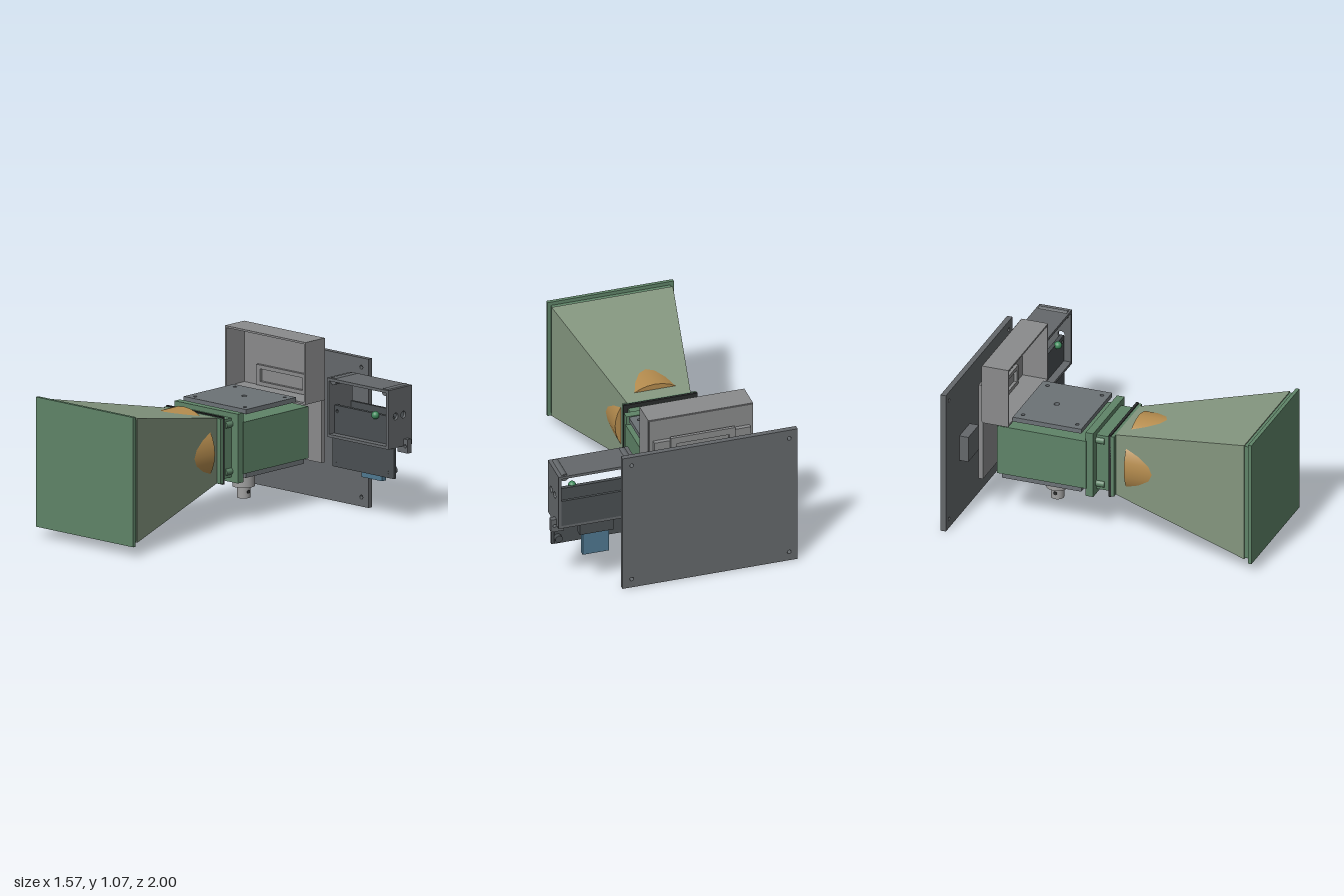
import * as THREE from 'three';

const mat = (color, flat = false) => new THREE.MeshStandardMaterial({ color, flatShading: flat });
const M = {
  horn: mat(0x84967f, true), green: mat(0x5f8468), dark: mat(0x4a4f52), plate: mat(0x64686b),
  grey: mat(0x8a8b8c), slate: mat(0x6c7276), orange: mat(0xb58c4e), blue: mat(0x4f7890),
  lamp: mat(0x3f8a5c), black: mat(0x2a2c2c), metal: mat(0xa0a0a0),
};
const CX = -0.215, CY = 0.475; // feed axis

export function createModel() {
  const model = new THREE.Group();
  const add = (name, geo, material, parent = model) => {
    const m = new THREE.Mesh(geo, material);
    m.name = name;
    parent.add(m);
    return m;
  };
  // box given by its limits
  const box = (name, material, x0, x1, y0, y1, z0, z1) =>
    add(name, new THREE.BoxGeometry(x1 - x0, y1 - y0, z1 - z0)
      .translate((x0 + x1) / 2, (y0 + y1) / 2, (z0 + z1) / 2), material);
  // box centred on the feed axis
  const axial = (name, material, hw, hh, z0, z1) =>
    box(name, material, CX - hw, CX + hw, CY - hh, CY + hh, z0, z1);
  // cylinder along x, y or z
  const rod = (name, material, axis, r, len, x, y, z, r2 = r) => {
    const g = new THREE.CylinderGeometry(r2, r, len, 32);
    if (axis === 'z') g.rotateX(Math.PI / 2);
    if (axis === 'x') g.rotateZ(-Math.PI / 2);
    return add(name, g.translate(x, y, z), material);
  };
  const rectPath = (P, x0, x1, y0, y1) => new P().moveTo(x0, y0).lineTo(x1, y0).lineTo(x1, y1).lineTo(x0, y1).closePath();
  // plate in the xy plane with round holes [x, y, r] and an optional window
  const sheet = (x0, x1, y0, y1, z0, z1, holes = [], win = null) => {
    const s = rectPath(THREE.Shape, x0, x1, y0, y1);
    for (const [x, y, r] of holes) s.holes.push(new THREE.Path().absarc(x, y, r, 0, Math.PI * 2, true));
    if (win) s.holes.push(rectPath(THREE.Path, ...win));
    return new THREE.ExtrudeGeometry(s, { depth: z1 - z0, bevelEnabled: false, curveSegments: 10 }).translate(0, 0, z0);
  };

  // horn: square frustum with a closed, stepped aperture
  const r2 = Math.SQRT2;
  add('horn', new THREE.CylinderGeometry(0.395 * r2, 0.203 * r2, 0.945, 4).rotateY(Math.PI / 4)
    .rotateX(Math.PI / 2).translate(CX, CY, 0.4725), M.horn);
  axial('apertureStep', M.green, 0.388, 0.388, 0.945, 0.98);
  axial('apertureCover', M.green, 0.411, 0.412, 0.977, 1);
  rod('lensRing', M.orange, 'z', 0.26, 0.3, CX, CY, 0.245);

  // throat flanges and neck
  axial('throatFlange', M.green, 0.24, 0.207, 0, 0.022);
  axial('gasket', M.black, 0.24, 0.214, -0.015, 0.002);
  axial('neck', M.green, 0.212, 0.188, -0.11, -0.012);
  axial('rearFlange', M.green, 0.268, 0.22, -0.155, -0.105);
  for (const sx of [-1, 1]) for (const sy of [-1, 1])
    rod('flangeBolt', M.green, 'z', 0.022, 0.055, CX + sx * 0.205, CY + sy * 0.15, -0.078);

  // waveguide body
  box('body', M.green, -0.49, 0.058, 0.308, 0.637, -0.74, -0.15);

  // top cover plate (sheet laid flat) and its standoffs
  const corners = [-1, 1].flatMap(a => [-1, 1].map(b => [a, b]));
  const holes = corners.map(([a, b]) => [CX + a * 0.21, 0.4125 + b * 0.18, 0.012]);
  add('topPlate', sheet(-0.48, 0.047, 0.185, 0.64, 0, 0.03, [...holes, [CX, 0.45, 0.018]])
    .rotateX(-Math.PI / 2).translate(0, 0.68, 0), M.slate);
  rod('topProbe', M.orange, 'y', 0.017, 0.06, CX, 0.66, -0.45);

  // bottom plates
  add('bottomFrame', sheet(-0.48, 0.047, 0.185, 0.71, 0, 0.03, [], [-0.4, -0.03, 0.26, 0.63])
    .rotateX(-Math.PI / 2).translate(0, 0.276, 0), M.slate);
  box('bottomPlate', M.dark, -0.375, -0.055, 0.242, 0.31, -0.605, -0.29);
  // stepped knob
  rod('knob', M.metal, 'y', 0.07, 0.095, CX, 0.188, -0.445);
  rod('knobNeck', M.metal, 'y', 0.03, 0.02, CX, 0.237, -0.445);
  rod('knobTip', M.metal, 'y', 0.042, 0.08, CX, 0.108, -0.445);
  rod('knobCrossHole', M.black, 'x', 0.012, 0.088, CX, 0.108, -0.445);

  // open-fronted hood behind the body
  add('hood', sheet(-0.555, 0.127, 0.675, 1.07, -0.815, -0.64, [], [-0.543, 0.115, 0.687, 1.058]), M.grey);
  box('hoodBack', M.grey, -0.55, 0.122, 0.68, 1.065, -0.82, -0.805);
  add('hoodFrame', sheet(-0.425, -0.005, 0.69, 0.82, -0.805, -0.785, [], [-0.395, -0.035, 0.715, 0.795]), M.grey);

  // rear panel with stepped flange, block and pin
  box('rearPanel', M.grey, -0.53, 0.097, 0.27, 0.92, -0.848, -0.818);
  add('rearFrame', sheet(-0.425, -0.005, 0.3, 0.945, -0.865, -0.845, [], [-0.385, -0.045, 0.345, 0.9]), M.grey);
  box('rearInset', M.grey, -0.39, -0.04, 0.34, 0.86, -0.872, -0.845);
  box('rearBlock', M.metal, -0.355, -0.145, 0.38, 0.57, -0.912, -0.87);
  rod('rearPin', M.metal, 'z', 0.043, 0.055, -0.112, CY, -0.895);

  // back plate with corner holes
  add('backPlate', sheet(-0.785, 0.355, 0, 0.945, -1, -0.965,
    [-0.73, 0.295].flatMap(x => [0.06, 0.885].map(y => [x, y, 0.013]))), M.plate);
  box('backPlateBlock', M.plate, -0.555, -0.375, 0.385, 0.555, -0.967, -0.905);

  // control box: open frame; right wall has two round holes
  const [bx0, bx1, by0, by1, bz0, bz1, t] = [0.23, 0.75, 0.475, 0.85, -0.938, -0.722, 0.018];
  box('boxTop', M.plate, bx0, bx1, by1 - t, by1, bz0, bz1);
  box('boxBottom', M.plate, bx0, bx1, by0, by0 + t, bz0, bz1);
  box('boxLeftWall', M.plate, bx0, bx0 + t, by0, by1, bz0, bz1);
  add('boxRightWall', sheet(-bz1, -bz0, by0, by1, 0, t, [[0.788, 0.675, 0.022], [0.858, 0.675, 0.022]])
    .rotateY(Math.PI / 2).translate(bx1 - t, 0, 0), M.plate);
  for (const x of [0.272, 0.708]) rod('boxBoss', M.plate, 'z', 0.025, 0.19, x, 0.833, -0.83);

  // circuit card, rear cover and fittings
  add('card', sheet(0.25, 0.732, 0.28, 0.672, -0.795, -0.77,
    [0.272, 0.71].flatMap(x => [0.315, 0.635].map(y => [x, y, 0.01]))), M.dark);
  box('cardSkirt', M.dark, 0.23, 0.75, 0.28, 0.478, -0.793, -0.772);
  box('boxRearCover', M.dark, 0.235, 0.745, 0.48, 0.672, -0.938, -0.92);
  for (const x of [0.272, 0.71]) rod('cardScrew', M.dark, 'z', 0.024, 0.03, x, 0.325, -0.808);
  box('connector', M.blue, 0.405, 0.577, 0.225, 0.385, -0.888, -0.85);
  box('connectorMount', M.dark, 0.38, 0.6, 0.38, 0.48, -0.9, -0.84);
  add('indicatorLamp', new THREE.SphereGeometry(0.025, 24, 16).translate(0.605, 0.665, -0.76), M.lamp);
  add('sideTab', sheet(0.7, 0.785, 0.432, 0.52, -0.895, -0.86, [[0.762, 0.475, 0.011]]), M.plate);
  return model;
}
